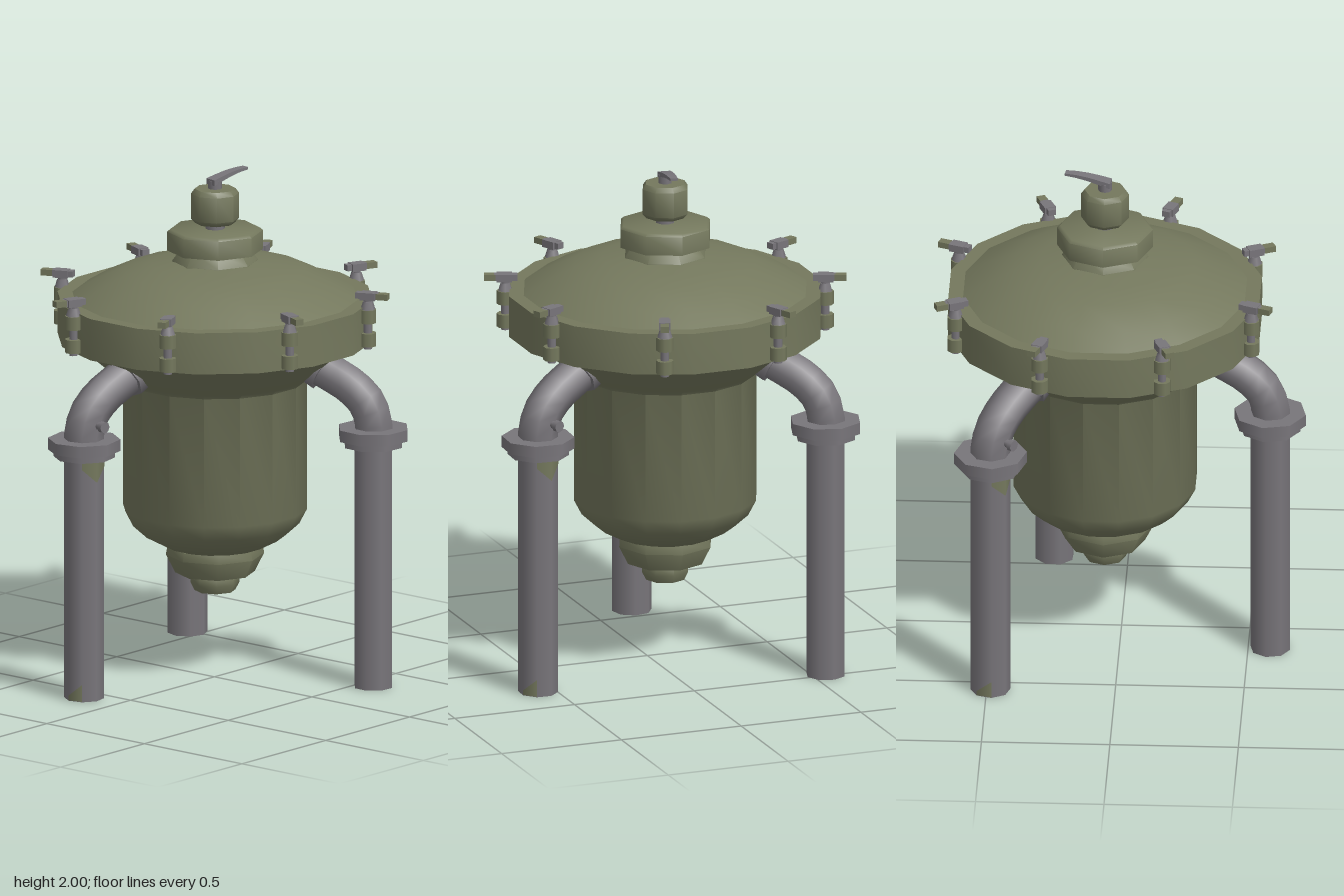
import * as THREE from 'three';
import { toCreasedNormals } from 'three/addons/utils/BufferGeometryUtils.js';

const CX = 0.062, CZ = -0.05; // vessel axis
const olive = new THREE.MeshStandardMaterial({ color: 0x74785d });
olive.name = 'olive paint';
const grey = new THREE.MeshStandardMaterial({ color: 0x78757a });
grey.name = 'grey steel';

function add(parent, name, geometry, material, x = 0, y = 0, z = 0) {
  const mesh = new THREE.Mesh(geometry, material);
  mesh.name = name;
  mesh.position.set(x, y, z);
  parent.add(mesh);
  return mesh;
}

// Turned part from [radius, height] points listed bottom to top
function turned(parent, name, profile, sides, material = olive) {
  const points = profile.map(([r, y]) => new THREE.Vector2(r, y));
  const start = sides === 16 ? Math.PI / 16 : 0;
  const geometry = new THREE.LatheGeometry(points, sides, start);
  return add(parent, name, toCreasedNormals(geometry, 0.9), material);
}

function cylinder(parent, name, r, y0, y1, material, x = 0, sides = 8, rTop = r) {
  return add(parent, name, new THREE.CylinderGeometry(rTop, r, y1 - y0, sides), material, x, (y0 + y1) / 2);
}

// Worn paint lying just over the facets of a leg
function paintPatch(parent, name, y0, y1, start, facets, movedVertex, shift) {
  const g = new THREE.CylinderGeometry(0.0795, 0.0795, y1 - y0, 8 / 8 * facets, 1, true, start, facets * Math.PI / 4);
  const p = g.attributes.position;
  p.setY(movedVertex, p.getY(movedVertex) + shift);
  add(parent, name, g, olive, 0.658, (y0 + y1) / 2);
}

// Leg with flange and elbow; local +x points away from the vessel
function makeLeg(degrees) {
  const leg = new THREE.Group();
  leg.name = 'leg';
  leg.rotation.y = -THREE.MathUtils.degToRad(degrees);
  const r = 0.658;
  cylinder(leg, 'legPipe', 0.078, 0, 0.97, grey, r);
  cylinder(leg, 'lowerFlange', 0.12, 0.965, 0.992, grey, r);
  cylinder(leg, 'upperFlange', 0.142, 0.992, 1.038, grey, r);

  const path = new THREE.CatmullRomCurve3([
    [r, 1.0], [r, 1.06], [0.63, 1.135], [0.565, 1.195], [0.46, 1.25], [0.33, 1.32],
  ].map(([x, y]) => new THREE.Vector3(x, y, 0)));
  add(leg, 'elbow', new THREE.TubeGeometry(path, 10, 0.078, 8), grey);

  const collar = add(leg, 'elbowCollar', new THREE.CylinderGeometry(0.092, 0.092, 0.07, 8), grey, 0.425, 1.268);
  collar.rotation.z = Math.PI / 3;

  // Drain plug on the side of the elbow
  const plug = add(leg, 'drainPlug', new THREE.CylinderGeometry(0.016, 0.016, 0.06, 8), grey, 0.645, 1.1, -0.08);
  const head = add(leg, 'drainPlugHead', new THREE.CylinderGeometry(0.023, 0.023, 0.02, 8), grey, 0.645, 1.1, -0.102);
  plug.rotation.x = head.rotation.x = Math.PI / 2;

  paintPatch(leg, 'upperPaintPatch', 0.93, 0.965, Math.PI * 0.75, 2, 4, -0.055);
  paintPatch(leg, 'lowerPaintPatch', 0.002, 0.07, Math.PI / 2, 1, 0, -0.05);
  return leg;
}

// Swing bolt clamp on the rim; local +x points outwards
function makeClamp(degrees) {
  const clamp = new THREE.Group();
  clamp.name = 'rimClamp';
  clamp.rotation.y = -THREE.MathUtils.degToRad(degrees);
  const r = 0.622;
  cylinder(clamp, 'clampRod', 0.017, 1.34, 1.55, grey, r);
  cylinder(clamp, 'lowerLug', 0.034, 1.352, 1.405, olive, r);
  cylinder(clamp, 'upperLug', 0.034, 1.445, 1.498, olive, r);
  cylinder(clamp, 'clampNut', 0.03, 1.498, 1.53, grey, r, 6, 0.02);
  add(clamp, 'clampHub', new THREE.BoxGeometry(0.06, 0.03, 0.045), grey, 0.625, 1.552);
  add(clamp, 'clampHandle', new THREE.BoxGeometry(0.09, 0.024, 0.032), grey, 0.62, 1.553);
  add(clamp, 'clampHandleTip', new THREE.BoxGeometry(0.046, 0.024, 0.034), olive, 0.682, 1.553);
  return clamp;
}

export function createModel() {
  const model = new THREE.Group();
  model.name = 'pressureVessel';
  const vessel = new THREE.Group();
  vessel.name = 'vessel';
  vessel.position.set(CX, 0, CZ);
  model.add(vessel);

  // Bottom outlet
  turned(vessel, 'drainCap', [[0, 0.33], [0.08, 0.33], [0.096, 0.362], [0.096, 0.39], [0.085, 0.405]], 8);
  turned(vessel, 'drainFlange', [[0, 0.402], [0.155, 0.402], [0.192, 0.475], [0.185, 0.51], [0, 0.51]], 8);

  // Tank, from rounded bowl to flared shoulder
  turned(vessel, 'tank', [
    [0.15, 0.5], [0.2, 0.515], [0.275, 0.555], [0.33, 0.605], [0.361, 0.665], [0.361, 1.18],
    [0.385, 1.2], [0.43, 1.235], [0.5, 1.295], [0.56, 1.345],
  ], 16);
  turned(vessel, 'rim', [[0.54, 1.342], [0.617, 1.342], [0.617, 1.507], [0.54, 1.507]], 16);
  turned(vessel, 'lid', [[0.562, 1.505], [0.47, 1.56], [0.355, 1.614], [0.25, 1.637], [0.14, 1.652]], 16);

  // Top neck, flange and valve
  turned(vessel, 'neck', [[0.168, 1.638], [0.168, 1.65], [0.13, 1.7]], 8);
  turned(vessel, 'neckFlange', [[0, 1.692], [0.187, 1.692], [0.187, 1.767], [0.175, 1.777], [0, 1.777]], 8);
  cylinder(vessel, 'valveStem', 0.038, 1.77, 1.82, grey);
  turned(vessel, 'valveCap', [
    [0, 1.8], [0.078, 1.8], [0.094, 1.818], [0.094, 1.918], [0.08, 1.937], [0, 1.937],
  ], 8);
  cylinder(vessel, 'leverPivot', 0.027, 1.93, 1.97, grey);

  // Lever: tapered plate that rises and flattens towards the tip
  const lever = new THREE.BoxGeometry(0.18, 0.016, 0.05, 4, 1, 1);
  const p = lever.attributes.position;
  for (let i = 0; i < p.count; i++) {
    const t = p.getX(i) / 0.18 + 0.5;
    p.setY(i, p.getY(i) * (1.4 - 0.8 * t) + 0.03 * Math.sin(t * Math.PI / 2));
    p.setZ(i, p.getZ(i) * (1 - 0.4 * t));
  }
  lever.translate(0.067, 0, 0);
  lever.computeVertexNormals();
  add(vessel, 'valveLever', lever, grey, 0, 1.965).rotation.y = -0.15;

  for (const angle of [70, 190, 310]) vessel.add(makeLeg(angle));
  for (let i = 0; i < 8; i++) vessel.add(makeClamp(21.5 + i * 45));
  return model;
}
